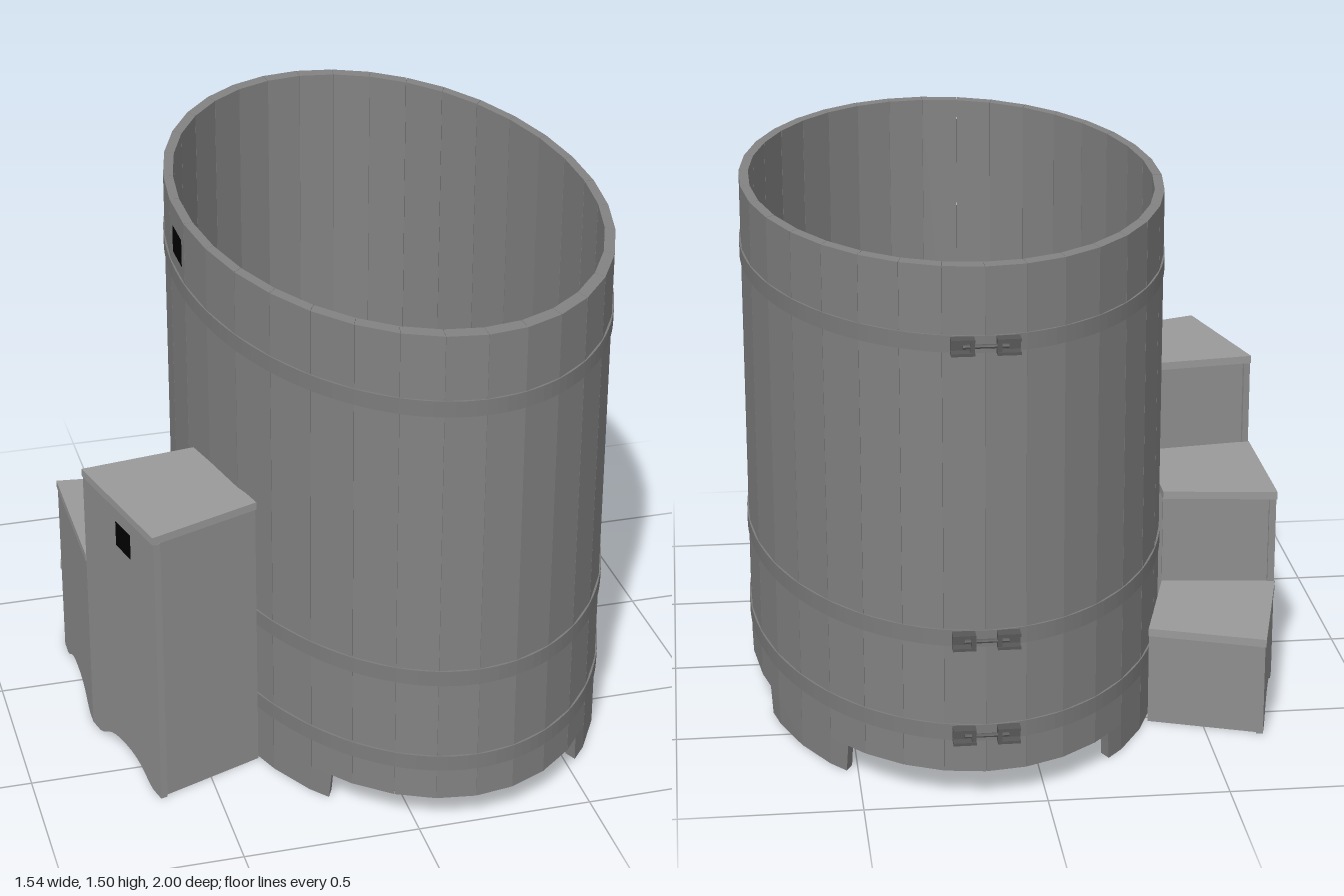
import * as THREE from 'three';

const STAVES = 34, CX = 0.165, CZ = 0.016;
const OUT = [0.603, 0.981], INN = [0.576, 0.936];
const paint = (color) => new THREE.MeshStandardMaterial({ color, flatShading: true, side: THREE.DoubleSide });
const wood = paint(0x828282), treadWood = paint(0x9a9a9a), panelWood = paint(0x8e8e8e);
const band = paint(0x7c7c7c), iron = paint(0x585858), black = paint(0x000000);

// Point on the faceted oval; k counts staves from the front (+z)
function oval([a, b], k) {
  const corner = (i) => {
    const t = (i * 2 * Math.PI) / STAVES;
    return new THREE.Vector2(CX + a * Math.sin(t), CZ + b * Math.cos(t));
  };
  const i = Math.floor(k);
  return corner(i).lerp(corner(i + 1), k - i);
}

// Upright prism over an outline of (x, z) points
function prism(pts, y0, y1, hole) {
  const flip = (p) => new THREE.Vector2(p.x, -p.y);
  const shape = new THREE.Shape(pts.map(flip));
  if (hole) shape.holes.push(new THREE.Path(hole.map(flip)));
  return new THREE.ExtrudeGeometry(shape, { depth: y1 - y0, bevelEnabled: false })
    .rotateX(-Math.PI / 2).translate(0, y0, 0);
}

function add(parent, name, geometry, material) {
  const mesh = new THREE.Mesh(geometry, material);
  mesh.name = name;
  parent.add(mesh);
  return mesh;
}

// Points of a wall slice: along the outside, back along the inside
function slice(ks) {
  return [...ks.map((k) => oval(OUT, k)), ...ks.slice().reverse().map((k) => oval(INN, k))];
}

// Smooth oval outline for the hoops
function ellipse(a, b, n = 136) {
  return Array.from({ length: n }, (_, i) => {
    const t = (i / n) * Math.PI * 2;
    return new THREE.Vector2(CX + a * Math.sin(t), CZ + b * Math.cos(t));
  });
}

// Outline of the tub's inside between two z values
function insideSlice(z0, z1, n = 8) {
  const right = [], left = [];
  for (let i = 0; i <= n; i++) {
    const z = z0 + ((z1 - z0) * i) / n;
    const w = INN[0] * Math.sqrt(1 - ((z - CZ) / INN[1]) ** 2);
    right.push(new THREE.Vector2(CX + w, z));
    left.unshift(new THREE.Vector2(CX - w, z));
  }
  return [...right, ...left];
}

function makeTub() {
  const tub = new THREE.Group();
  tub.name = 'tub';
  // Staves with a hairline seam between them
  const seam = 0.004;
  for (let k = 0; k < STAVES; k++)
    add(tub, 'stave', prism(slice([k + seam, k + 1 - seam]), 0.08, 1.5), wood);

  // Four feet continuing the wall down, slightly narrower at the ground
  for (const k of [3.5, 10.5, 20.5, 27.5]) {
    const first = Math.ceil(k);
    const g = prism(slice([k, first, first + 1, first + 2, k + 3]), 0, 0.08);
    const mid = oval(OUT, k + 1.5), along = oval(OUT, k + 3).sub(oval(OUT, k)).normalize();
    const p = g.attributes.position;
    for (let i = 0; i < p.count; i++) {
      if (p.getY(i) > 0.01) continue;
      const d = ((p.getX(i) - mid.x) * along.x + (p.getZ(i) - mid.y) * along.y) * -0.05;
      p.setX(i, p.getX(i) + along.x * d);
      p.setZ(i, p.getZ(i) + along.y * d);
    }
    add(tub, 'foot', g, wood);
  }

  // Floor, a little above the lower edge of the wall
  add(tub, 'floor', prism(Array.from({ length: STAVES }, (_, k) => oval(INN, k)), 0.11, 0.16), wood);

  // Seat of two boards fitted against the front wall
  for (const [z0, z1] of [[0.43, 0.802], [0.805, 0.945]])
    add(tub, 'seatBoard', prism(insideSlice(z0, z1), 0.52, 0.55), wood);

  // Small dark plate near the rim above the steps
  add(tub, 'rimPlate', new THREE.BoxGeometry(0.006, 0.08, 0.11).translate(CX - 0.5985, 1.395, CZ), black);
  return tub;
}

// Hoop with a bolted clasp at the back
function makeHoop(y) {
  const hoop = new THREE.Group();
  hoop.name = 'hoop';
  add(hoop, 'band', prism(ellipse(0.606, 0.984), y - 0.023, y + 0.023, ellipse(0.594, 0.969)), band);
  for (const s of [-1, 1]) {
    const x = CX + s * 0.06;
    add(hoop, 'claspWeb', new THREE.BoxGeometry(0.062, 0.022, 0.014).translate(x, y, -0.972), iron);
    add(hoop, 'claspLug', new THREE.BoxGeometry(0.012, 0.04, 0.034).translate(CX + s * 0.035, y, -0.981), iron);
    for (const f of [-1, 1])
      add(hoop, 'claspFin', new THREE.BoxGeometry(0.062, 0.008, 0.036).translate(x, y + f * 0.018, -0.982), iron);
  }
  add(hoop, 'claspBolt', new THREE.CylinderGeometry(0.006, 0.006, 0.12, 8)
    .rotateZ(Math.PI / 2).translate(CX, y, -0.985), iron);
  return hoop;
}

// Upright board from a to b, set back from that line, optionally arched at the foot
function board(a, b, height, setback, arched) {
  const L = a.distanceTo(b), t = 0.02;
  const s = new THREE.Shape();
  s.moveTo(0, 0);
  if (arched) {
    s.lineTo(L * 0.11, 0);
    s.bezierCurveTo(L * 0.22, 0.01, L * 0.24, 0.053, L * 0.5, 0.053);
    s.bezierCurveTo(L * 0.76, 0.053, L * 0.78, 0.01, L * 0.89, 0);
  }
  s.lineTo(L, 0);
  s.lineTo(L, height);
  s.lineTo(0, height);
  return new THREE.ExtrudeGeometry(s, { depth: t, bevelEnabled: false, curveSegments: 8 })
    .translate(0, 0, -t - setback).rotateY(-Math.atan2(b.y - a.y, b.x - a.x)).translate(a.x, 0, a.y);
}

function makeSteps() {
  const steps = new THREE.Group();
  steps.name = 'steps';
  const V = (x, z) => new THREE.Vector2(x, z);
  const outer = [V(-0.663, -0.647), V(-0.772, -0.215), V(-0.772, 0.235), V(-0.663, 0.671)];
  const inner = [V(-0.345, -0.53), V(-0.44, -0.175), V(-0.44, 0.19), V(-0.345, 0.55)];
  const tops = [0.29, 0.57, 0.845], tread = 0.023;
  // Cross boards stop just inside the side panels
  const inside = outer.map((p, i) => p.clone().lerp(inner[i], 0.07));

  tops.forEach((h, i) => {
    add(steps, 'tread', prism([outer[i], outer[i + 1], inner[i + 1], inner[i]], h - tread, h), treadWood);
    add(steps, 'sidePanel', board(outer[i], outer[i + 1], h - tread, 0.003, true), panelWood);
    add(steps, 'riser', board(inner[i], inside[i], h - tread, 0.006, false), panelWood);
  });
  add(steps, 'endPanel', board(inside[3], inner[3], tops[2] - tread, 0.006, false), panelWood);

  // Small dark plate on the tallest step
  const c = outer[2].clone().lerp(outer[3], 0.57);
  const d = outer[3].clone().sub(outer[2]);
  const plate = add(steps, 'stepPlate', new THREE.BoxGeometry(0.09, 0.075, 0.006).translate(0, 0, -0.0045), black);
  plate.position.set(c.x, 0.742, c.y);
  plate.rotation.y = -Math.atan2(d.y, d.x);
  return steps;
}

export function createModel() {
  const model = new THREE.Group();
  model.name = 'ovalTubWithSteps';
  model.add(makeTub(), makeSteps());
  for (const y of [0.197, 0.472, 1.293]) model.add(makeHoop(y));
  return model;
}
